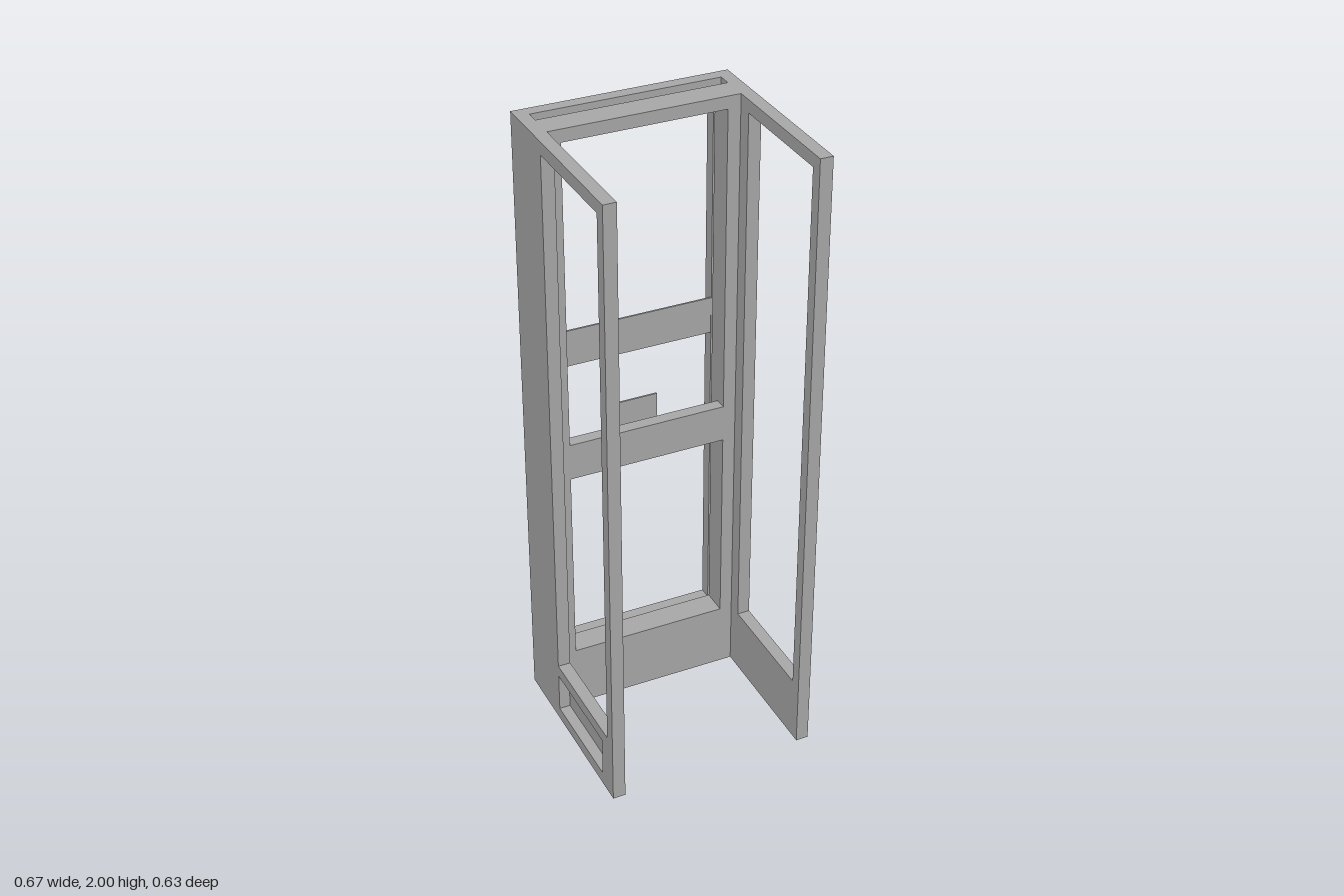
import * as THREE from 'three';

// Rectangular board [x0, x1, y0, y1] with rectangular holes, extruded from z0 to z1
function board(rect, holes, z0, z1) {
  const corners = ([x0, x1, y0, y1]) => [
    new THREE.Vector2(x0, y0), new THREE.Vector2(x1, y0),
    new THREE.Vector2(x1, y1), new THREE.Vector2(x0, y1),
  ];
  const shape = new THREE.Shape(corners(rect));
  for (const h of holes) shape.holes.push(new THREE.Path(corners(h).reverse()));
  const geo = new THREE.ExtrudeGeometry(shape, { depth: z1 - z0, bevelEnabled: false });
  return geo.translate(0, 0, z0);
}

export function createModel() {
  const group = new THREE.Group();
  group.name = 'doorFrame';
  const grey = new THREE.MeshStandardMaterial({ color: 0xaaaaaa });
  grey.name = 'grey';

  const add = (name, geo, parent = group) => {
    const mesh = new THREE.Mesh(geo, grey);
    mesh.name = name;
    parent.add(mesh);
    return mesh;
  };

  const outer = 0.333, inner = 0.293, skin = 0.005;

  // Side panels: tall window, with a shallow pocket in the outer face
  // (the board's x runs along -z before it is turned)
  const sideRect = [-0.313, 0.313, 0, 2];
  const sideWindow = [-0.275, 0.1, 0.21, 1.96];
  const pocket = [-0.235, 0.1, 0.04, 0.17];
  for (const [label, s] of [['left', 1], ['right', -1]]) {
    const panel = new THREE.Group();
    panel.name = label + 'SidePanel';
    const layer = (name, holes, a, b) => add(name,
      board(sideRect, holes, Math.min(s * a, s * b), Math.max(s * a, s * b)).rotateY(Math.PI / 2), panel);
    layer('panelSkin', [sideWindow], inner, inner + skin);
    layer('panelBody', [sideWindow, pocket], inner + skin, outer);
    group.add(panel);
  }

  // Upright frames between the side panels, with a slot left between them
  const span = [-inner, inner, 0, 2];
  add('backFrame', board(span, [[-0.27, 0.27, 0.17, 1.96]], -0.313, -0.273));
  add('frontFrame', board(span, [[-0.253, 0.253, 0.21, 1.96]], -0.231, -0.148));

  // Cross bars and the small plate
  add('lowerCrossBar', board([-0.253, 0.253, 0.86, 0.98], [], -0.188, -0.148));
  add('upperCrossBar', board([-0.27, 0.27, 1.17, 1.29], [], -0.281, -0.275));
  add('smallPlate', board([-0.095, 0.09, 0.837, 1.0], [], -0.281, -0.275));

  return group;
}
